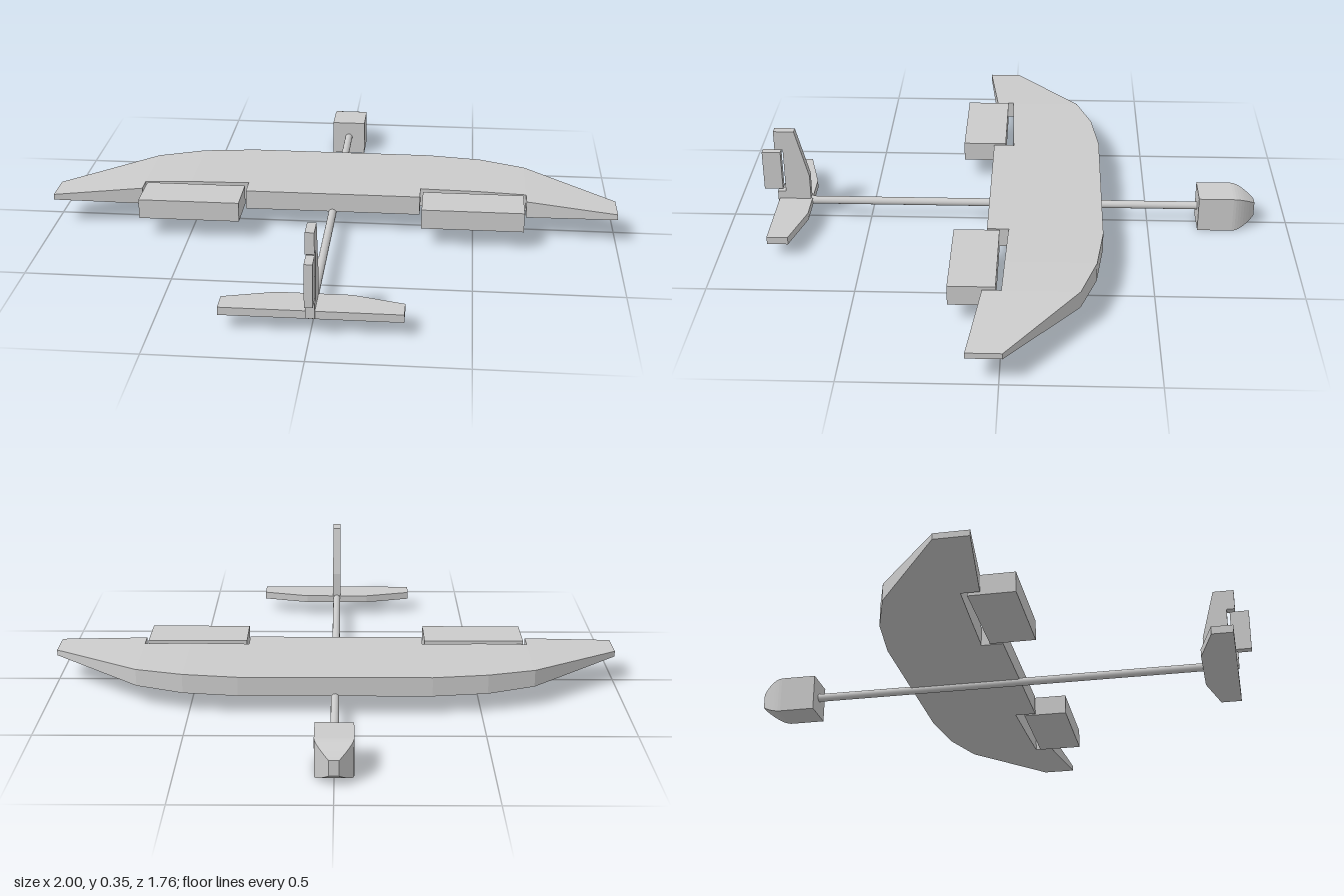
import * as THREE from 'three';

const material = new THREE.MeshStandardMaterial({ color: 0xcccccc, flatShading: true });
const smooth = new THREE.MeshStandardMaterial({ color: 0xcccccc });

// Flat-shaded solid through a series of four-cornered rings, capped at both ends
function loft(rings) {
  const pos = [];
  const quad = (a, b, c, d) => pos.push(...a, ...b, ...c, ...a, ...c, ...d);
  for (let i = 0; i < rings.length - 1; i++) {
    const r = rings[i], s = rings[i + 1];
    for (let j = 0; j < 4; j++) {
      const k = (j + 1) % 4;
      quad(r[j], r[k], s[k], s[j]);
    }
  }
  quad(...[...rings[0]].reverse());
  quad(...rings[rings.length - 1]);
  const g = new THREE.BufferGeometry();
  g.setAttribute('position', new THREE.Float32BufferAttribute(pos, 3));
  g.computeVertexNormals();
  return g;
}

// Flat plate cut from an outline, centred on its thickness
function plate(points, depth) {
  const shape = new THREE.Shape(points.map(([x, y]) => new THREE.Vector2(x, y)));
  const g = new THREE.ExtrudeGeometry(shape, { depth, bevelEnabled: false });
  return g.translate(0, 0, -depth / 2);
}

export function createModel() {
  const model = new THREE.Group();
  const add = (name, geometry, mat = material) => {
    const mesh = new THREE.Mesh(geometry, mat);
    mesh.name = name;
    model.add(mesh);
    return mesh;
  };

  // Wing half-sections: x, leading z, trailing z, half thickness (steps make the aileron notches)
  const half = [
    [0.31, -0.33, 0.065, 0.034],
    [0.31, -0.33, -0.01, 0.034],
    [0.33, -0.33, -0.008, 0.034],
    [0.52, -0.305, -0.002, 0.034],
    [0.685, -0.25, 0.003, 0.03],
    [0.685, -0.25, 0.065, 0.03],
    [1, -0.012, 0.103, 0.01],
  ];
  const mirrored = half.map(([x, ...rest]) => [-x, ...rest]).reverse();
  const wingY = 0.105;
  add('wing', loft([...mirrored, ...half].map(([x, zf, zb, t]) => [
    [x, wingY - t, zf], [x, wingY + t, zf], [x, wingY + t, zb], [x, wingY - t, zb],
  ])));

  // Ailerons
  for (const [side, name] of [[1, 'leftAileron'], [-1, 'rightAileron']]) {
    add(name, new THREE.BoxGeometry(0.355, 0.07, 0.156)).position.set(side * 0.497, wingY, 0.1);
  }

  // Tail boom
  const boom = new THREE.CylinderGeometry(0.014, 0.014, 1.51, 16).rotateX(Math.PI / 2);
  add('boom', boom, smooth).position.set(0, 0.066, 0.075);

  // Nose weight: square block rounding to a small blunt tip
  const noseRings = [];
  const noseRing = (z, w, h) => {
    const y = 0.0635;
    noseRings.push([[-w, y - h, z], [-w, y + h, z], [w, y + h, z], [w, y - h, z]]);
  };
  noseRing(-0.677, 0.0625, 0.0635);
  for (let i = 0; i <= 8; i++) {
    const u = i / 8, f = 1 - Math.pow(u, 1.7);
    noseRing(-0.8 - 0.08 * u, 0.016 + 0.0465 * f, 0.026 + 0.0375 * f);
  }
  add('nose', loft(noseRings));

  // Horizontal stabiliser, outlined in x and z
  const stabiliser = plate([
    [-0.12, 0.71], [0.12, 0.71], [0.29, 0.755], [0.29, 0.828], [-0.29, 0.828], [-0.29, 0.755],
  ], 0.027).rotateX(Math.PI / 2);
  add('stabiliser', stabiliser).position.y = 0.065;

  // Fin, outlined in z and y, with a cut-out for the rudder
  const fin = plate([
    [0.715, 0.055], [0.715, 0.17], [0.76, 0.347], [0.833, 0.347], [0.833, 0.274],
    [0.804, 0.274], [0.804, 0.108], [0.833, 0.108], [0.833, 0.055],
  ].map(([z, y]) => [-z, y]), 0.029).rotateY(Math.PI / 2);
  add('fin', fin);

  // Rudder
  add('rudder', new THREE.BoxGeometry(0.027, 0.146, 0.066)).position.set(0, 0.19, 0.847);

  return model;
}
